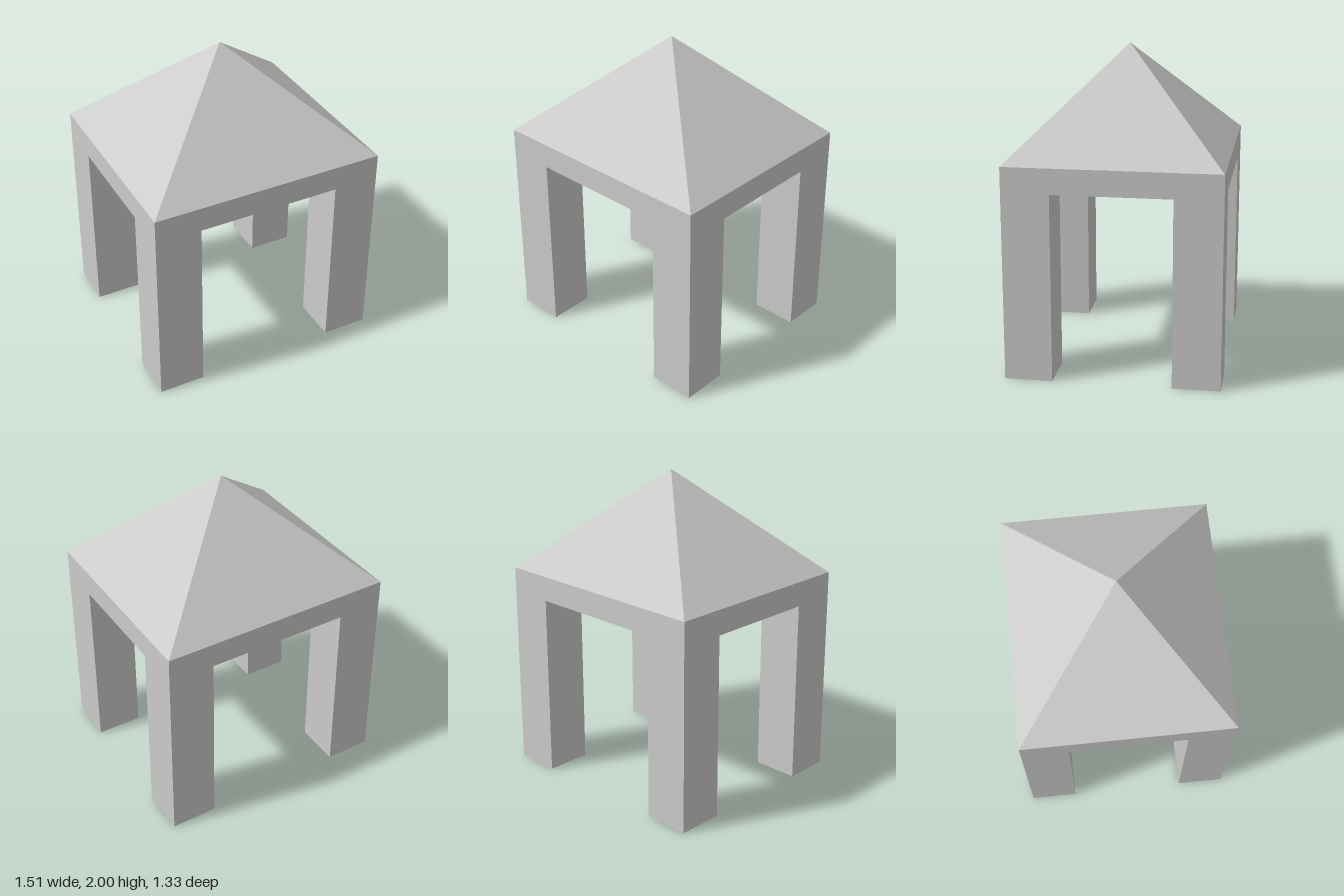
import * as THREE from 'three';

const HALF_X = 0.757, HALF_Z = 0.667; // outer half extents
const POST = 0.297;                   // post and beam thickness
const BEAM_Y = 1.183, EAVES_Y = 1.342, TOP_Y = 2;

export function createModel() {
  const group = new THREE.Group();
  const material = new THREE.MeshStandardMaterial({ color: 0xcccccc, flatShading: true });

  const addBox = (name, w, h, d, x, y, z) => {
    const mesh = new THREE.Mesh(new THREE.BoxGeometry(w, h, d), material);
    mesh.name = name;
    mesh.position.set(x, y, z);
    group.add(mesh);
  };

  const postX = HALF_X - POST / 2, postZ = HALF_Z - POST / 2;
  const beamH = EAVES_Y - BEAM_Y, beamMid = (EAVES_Y + BEAM_Y) / 2;

  for (const s of [1, -1]) {
    const end = s > 0 ? 'front' : 'back';
    const side = s > 0 ? 'left' : 'right';

    // Corner posts
    addBox(`${end}LeftPost`, POST, EAVES_Y, POST, postX, EAVES_Y / 2, s * postZ);
    addBox(`${end}RightPost`, POST, EAVES_Y, POST, -postX, EAVES_Y / 2, s * postZ);

    // Beams spanning between the posts
    addBox(`${end}Beam`, 2 * (HALF_X - POST), beamH, POST, 0, beamMid, s * postZ);
    addBox(`${side}Beam`, POST, beamH, 2 * (HALF_Z - POST), s * postX, beamMid, 0);
  }

  // Four-sided roof, closed underneath
  const roofH = TOP_Y - EAVES_Y;
  const roofGeometry = new THREE.ConeGeometry(Math.SQRT2, roofH, 4)
    .rotateY(Math.PI / 4)
    .scale(HALF_X, 1, HALF_Z);
  const roof = new THREE.Mesh(roofGeometry, material);
  roof.name = 'roof';
  roof.position.y = EAVES_Y + roofH / 2;
  group.add(roof);

  return group;
}
